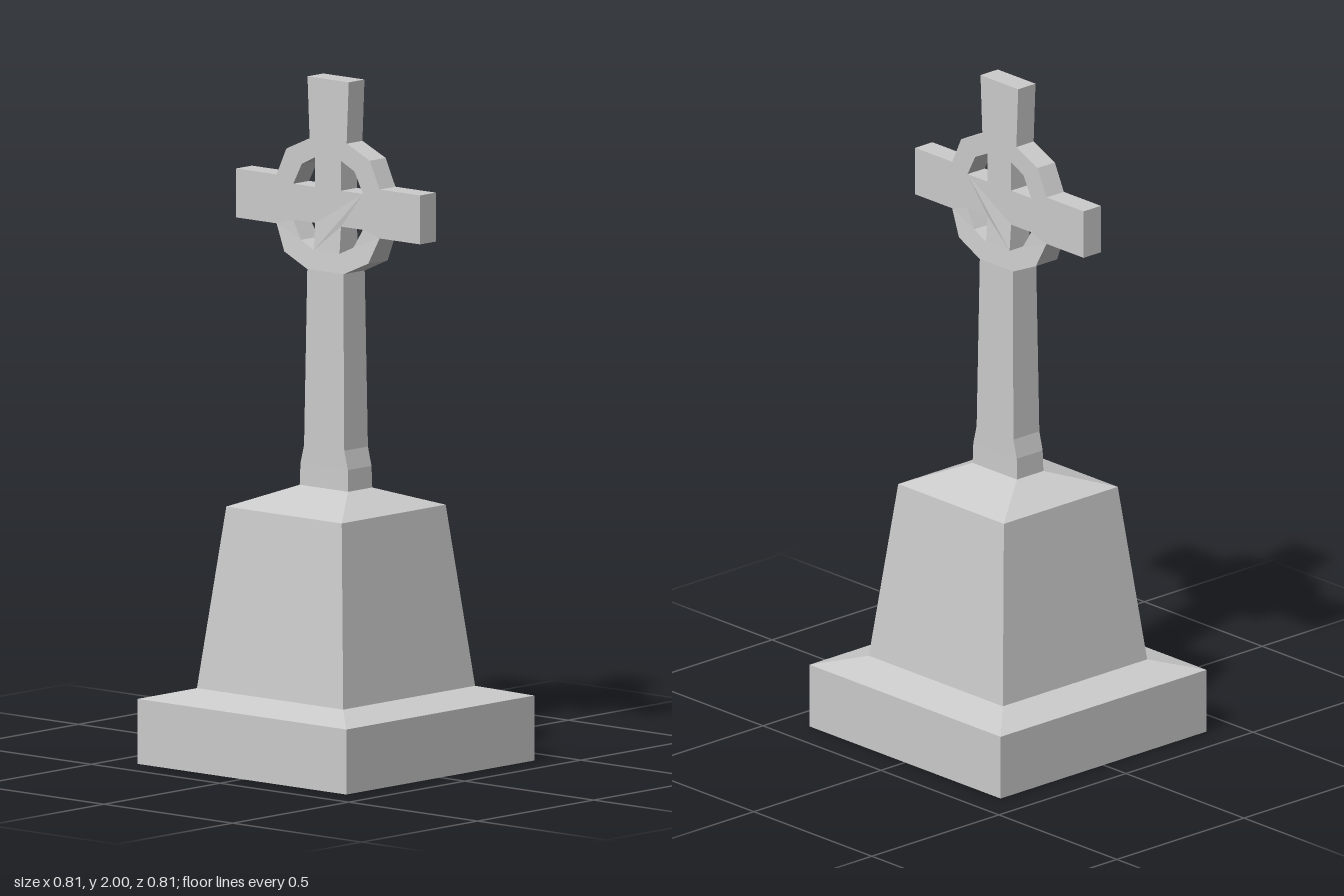
import * as THREE from 'three';

const stone = new THREE.MeshStandardMaterial({ color: 0xcccccc, flatShading: true });

// Stack of rectangular sections [y, halfX, halfZ] joined into a closed solid
function rectLoft(name, sections) {
  const pos = [];
  const corners = sections.map(([y, x, z]) => [[-x, y, z], [x, y, z], [x, y, -z], [-x, y, -z]]);
  const quad = (a, b, c, d) => pos.push(...a, ...b, ...c, ...a, ...c, ...d);
  for (let i = 0; i < corners.length - 1; i++) {
    const lo = corners[i], hi = corners[i + 1];
    for (let k = 0; k < 4; k++) {
      const n = (k + 1) % 4;
      quad(lo[k], lo[n], hi[n], hi[k]);
    }
  }
  const bottom = corners[0], top = corners[corners.length - 1];
  quad(bottom[3], bottom[2], bottom[1], bottom[0]);
  quad(top[0], top[1], top[2], top[3]);
  const geo = new THREE.BufferGeometry();
  geo.setAttribute('position', new THREE.Float32BufferAttribute(pos, 3));
  geo.computeVertexNormals();
  const mesh = new THREE.Mesh(geo, stone);
  mesh.name = name;
  return mesh;
}

// Ringed cross head, mirrored left to right, thickening towards the shaft
function crossHead() {
  const half = [
    [0.072, 1.44], [0.163, 1.48], [0.2, 1.557], [0.357, 1.557], [0.357, 1.7],
    [0.2, 1.7], [0.162, 1.78], [0.072, 1.82], [0.08, 2],
  ];
  const mirrored = half.map(([x, y]) => [-x, y]).reverse();
  const toPoints = (list) => list.map(([x, y]) => new THREE.Vector2(x, y));
  const shape = new THREE.Shape(toPoints([...half, ...mirrored]));

  // Four openings between the arms and the ring
  const upper = [[0.05, 1.68], [0.135, 1.68], [0.102, 1.742], [0.05, 1.767]];
  const lower = [[0.05, 1.575], [0.135, 1.575], [0.102, 1.52], [0.05, 1.496]];
  for (const hole of [upper, lower]) {
    for (const side of [1, -1]) {
      shape.holes.push(new THREE.Path(toPoints(hole.map(([x, y]) => [x * side, y]))));
    }
  }

  const geo = new THREE.ExtrudeGeometry(shape, { depth: 1, bevelEnabled: false });
  const p = geo.attributes.position;
  for (let i = 0; i < p.count; i++) {
    const t = THREE.MathUtils.clamp((1.557 - p.getY(i)) / 0.117, 0, 1);
    const thickness = 0.034 + 0.012 * t;
    p.setZ(i, (p.getZ(i) - 0.5) * 2 * thickness);
  }
  geo.computeVertexNormals();
  const mesh = new THREE.Mesh(geo, stone);
  mesh.name = 'ringedCrossHead';
  return mesh;
}

export function createModel() {
  const group = new THREE.Group();
  group.name = 'stoneCrossMonument';
  group.add(
    rectLoft('basePlinth', [[0, 0.405, 0.405], [0.19, 0.405, 0.405], [0.22, 0.284, 0.284]]),
    rectLoft('pedestal', [[0.22, 0.284, 0.284], [0.75, 0.224, 0.224], [0.807, 0.094, 0.052]]),
    rectLoft('shaft', [
      [0.807, 0.094, 0.052], [0.87, 0.092, 0.051], [0.925, 0.078, 0.051], [1.44, 0.07, 0.046],
    ]),
    crossHead(),
  );
  return group;
}
